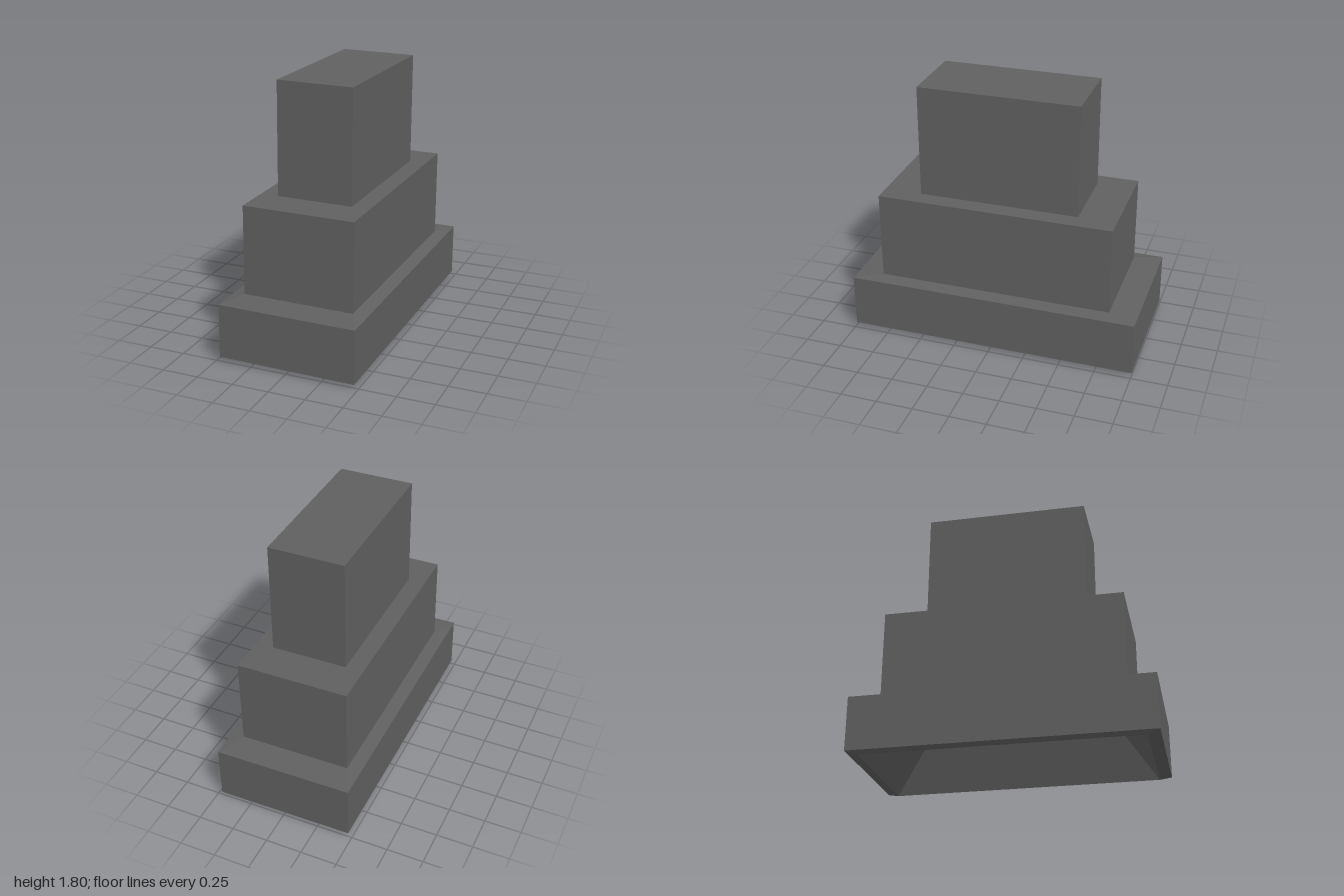
import * as THREE from 'three';

// Skin a list of rectangular rings [halfX, halfZ, y] with flat faces.
function rectLoft(rings) {
  const pos = [];
  const corner = ([hx, hz, y], k) => {
    const [sx, sz] = [[-1, 1], [1, 1], [1, -1], [-1, -1]][k % 4];
    return [sx * hx, y, sz * hz];
  };
  for (let i = 0; i < rings.length - 1; i++) {
    for (let k = 0; k < 4; k++) {
      const a = corner(rings[i], k), b = corner(rings[i], k + 1);
      const c = corner(rings[i + 1], k + 1), d = corner(rings[i + 1], k);
      pos.push(...a, ...b, ...c, ...a, ...c, ...d);
    }
  }
  const geo = new THREE.BufferGeometry();
  geo.setAttribute('position', new THREE.Float32BufferAttribute(pos, 3));
  geo.computeVertexNormals();
  return geo;
}

export function createModel() {
  const group = new THREE.Group();
  group.name = 'steppedBlock';
  const grey = new THREE.MeshStandardMaterial({ color: 0x606060 });
  grey.name = 'dark grey';

  const parts = {
    // hollow underside: shaft, ledge and splayed mouth
    cavity: [[0, 0, 1.77], [0.245, 0.53, 1.77], [0.245, 0.53, 0.33], [0.33, 0.69, 0.33], [0.44, 0.92, 0.008]],
    // wide base with chamfered foot and slightly sloping top
    baseTier: [[0.44, 0.92, 0.008], [0.472, 1, 0.03], [0.472, 1, 0.4], [0.382, 0.81, 0.415]],
    middleTier: [[0.382, 0.81, 0.415], [0.382, 0.81, 1.025], [0.26, 0.55, 1.025]],
    topTier: [[0.26, 0.55, 1.025], [0.26, 0.55, 1.797], [0, 0, 1.797]],
  };
  for (const [name, rings] of Object.entries(parts)) {
    const mesh = new THREE.Mesh(rectLoft(rings), grey);
    mesh.name = name;
    group.add(mesh);
  }

  // the whole block leans very slightly sideways
  for (const mesh of group.children) {
    mesh.rotation.z = -0.009;
    mesh.position.x = -0.002;
  }
  return group;
}
